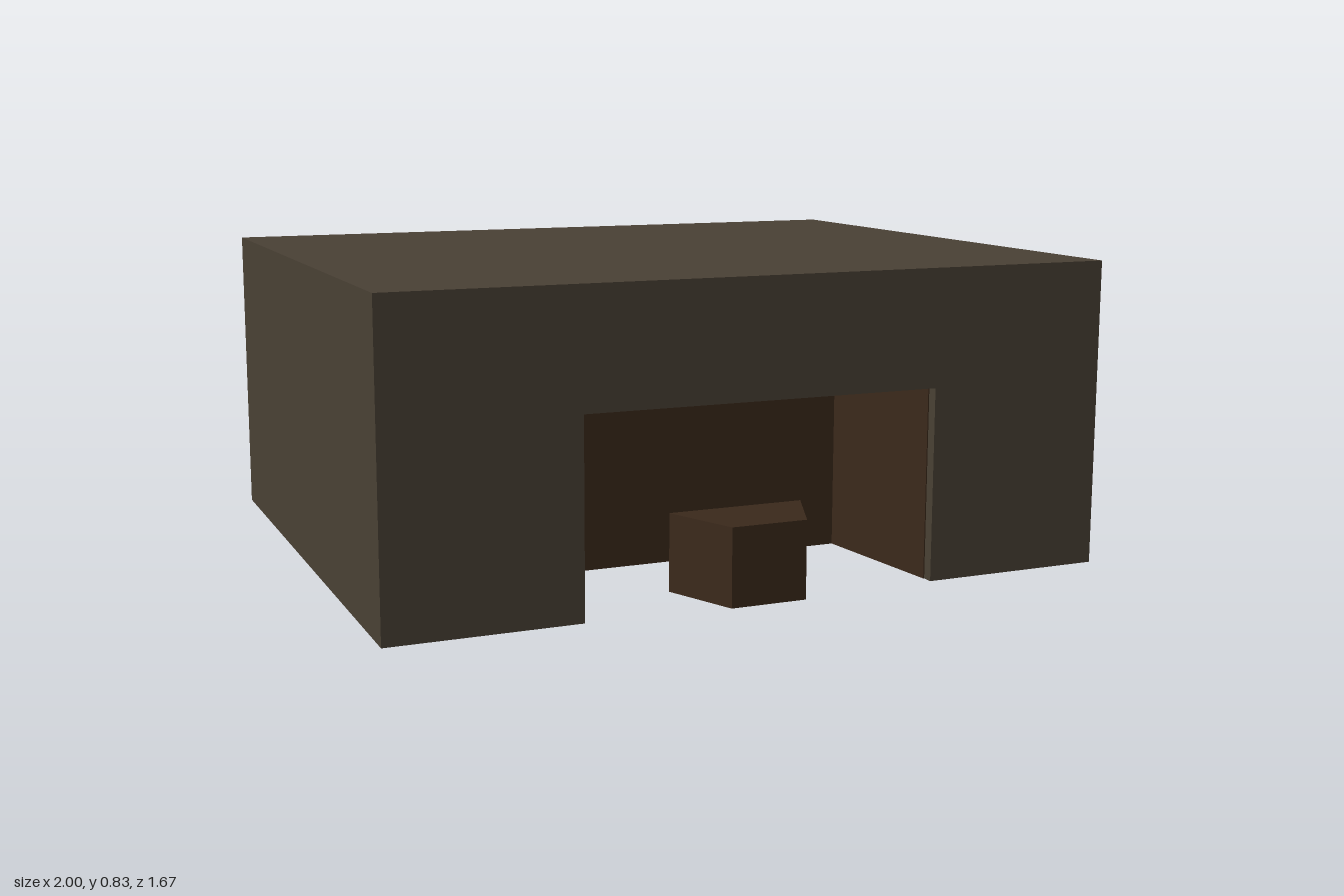
import * as THREE from 'three';

const T = 0.03; // wall thickness
const W = 1, H = 0.835, FRONT = 0.81, BACK = -0.835;
const OPEN_X = 0.49, OPEN_Y = 0.52;

const stone = new THREE.MeshStandardMaterial({ color: 0x4a4135, flatShading: true });
const brown = new THREE.MeshStandardMaterial({ color: 0x3b291b, flatShading: true });

export function createModel() {
  const model = new THREE.Group();

  const add = (parent, name, geometry, material) => {
    const mesh = new THREE.Mesh(geometry, material);
    mesh.name = name;
    parent.add(mesh);
    return mesh;
  };

  // Box given by its two opposite corners
  const box = (parent, name, a, b, material) => {
    const size = b.map((v, i) => v - a[i]);
    const mesh = add(parent, name, new THREE.BoxGeometry(...size), material);
    mesh.position.set(...a.map((v, i) => (v + b[i]) / 2));
  };

  // Upright prism over a floor plan of [x, z] points
  const prism = (parent, name, plan, height, material) => {
    const shape = new THREE.Shape(plan.map(([x, z]) => new THREE.Vector2(x, -z)));
    const geometry = new THREE.ExtrudeGeometry(shape, { depth: height, bevelEnabled: false });
    add(parent, name, geometry.rotateX(-Math.PI / 2), material);
  };

  // Hollow outer body, open underneath
  const body = new THREE.Group();
  body.name = 'outerBody';
  model.add(body);
  const frontShape = new THREE.Shape([
    [-W, 0], [-OPEN_X, 0], [-OPEN_X, OPEN_Y], [OPEN_X, OPEN_Y],
    [OPEN_X, 0], [W, 0], [W, H - T], [-W, H - T],
  ].map(([x, y]) => new THREE.Vector2(x, y)));
  const frontGeometry = new THREE.ExtrudeGeometry(frontShape, { depth: T, bevelEnabled: false });
  add(body, 'frontWall', frontGeometry.translate(0, 0, FRONT - T), stone);
  box(body, 'backWall', [-W, 0, BACK], [W, H - T, BACK + T], stone);
  box(body, 'leftWall', [W - T, 0, BACK + T], [W, H - T, FRONT - T], stone);
  box(body, 'rightWall', [-W, 0, BACK + T], [-W + T, H - T, FRONT - T], stone);
  box(body, 'topSlab', [-W, H - T, BACK], [W, H, FRONT], stone);

  // Recess walls, narrowing towards the back and running up to the top slab
  const recess = new THREE.Group();
  recess.name = 'recess';
  model.add(recess);
  const innerHeight = H - T;
  for (const s of [1, -1]) {
    prism(recess, s > 0 ? 'recessLeftWall' : 'recessRightWall', [
      [s * 0.487, FRONT - T], [s * 0.385, -0.115],
      [s * (0.385 + T), -0.115], [s * (0.487 + T), FRONT - T],
    ], innerHeight, brown);
  }
  prism(recess, 'recessBackWall',
    [[-0.44, 0.36], [0.44, 0.36], [0.437, 0.36 - T], [-0.437, 0.36 - T]], innerHeight, brown);

  // Small tapered block standing in the opening
  prism(model, 'hearthBlock',
    [[-0.105, 0.835], [0.105, 0.835], [0.19, 0.635], [-0.19, 0.635]], 0.21, brown);

  return model;
}
